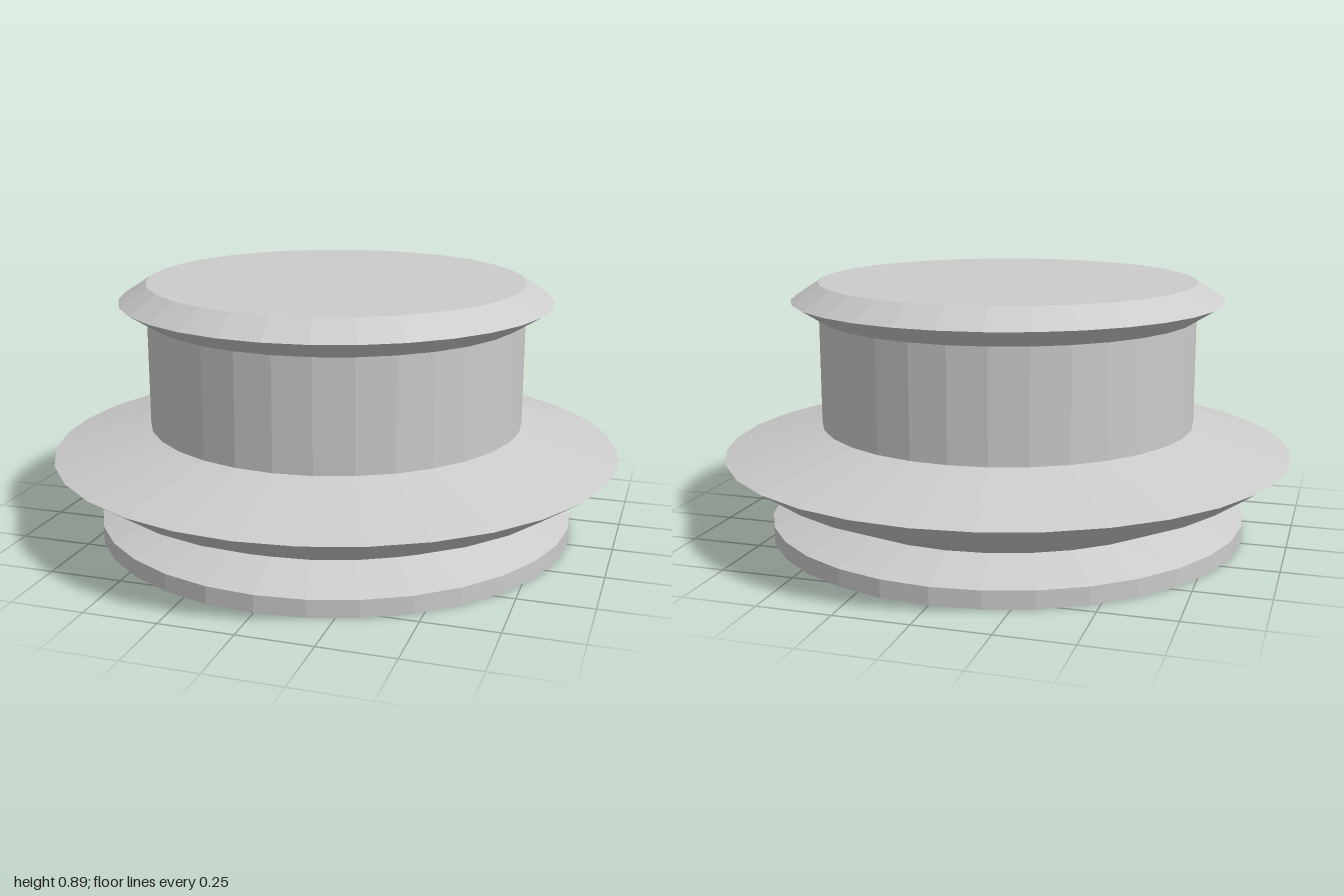
import * as THREE from 'three';

const SIDES = 32;

export function createModel() {
  const group = new THREE.Group();
  const material = new THREE.MeshStandardMaterial({ color: 0xcccccc, flatShading: true });

  // Each part is a faceted ring turned from [radius, height] points, bottom to top
  const turn = (name, profile) => {
    const points = profile.map(([r, y]) => new THREE.Vector2(r, y));
    const mesh = new THREE.Mesh(new THREE.LatheGeometry(points, SIDES), material);
    mesh.name = name;
    group.add(mesh);
  };

  // Flat foot with a bevel running in to the groove
  turn('base', [[0, 0], [0.845, 0], [0.845, 0.06], [0.68, 0.12]]);
  // Wide sharp-edged rim
  turn('flange', [[0.68, 0.12], [0.86, 0.2], [1, 0.296], [0.661, 0.392]]);
  // Straight body
  turn('drum', [[0.661, 0.392], [0.661, 0.77]]);
  // Pointed lip closed by a flat lid
  turn('topLip', [[0.661, 0.77], [0.757, 0.83], [0.661, 0.893], [0, 0.893]]);

  return group;
}
